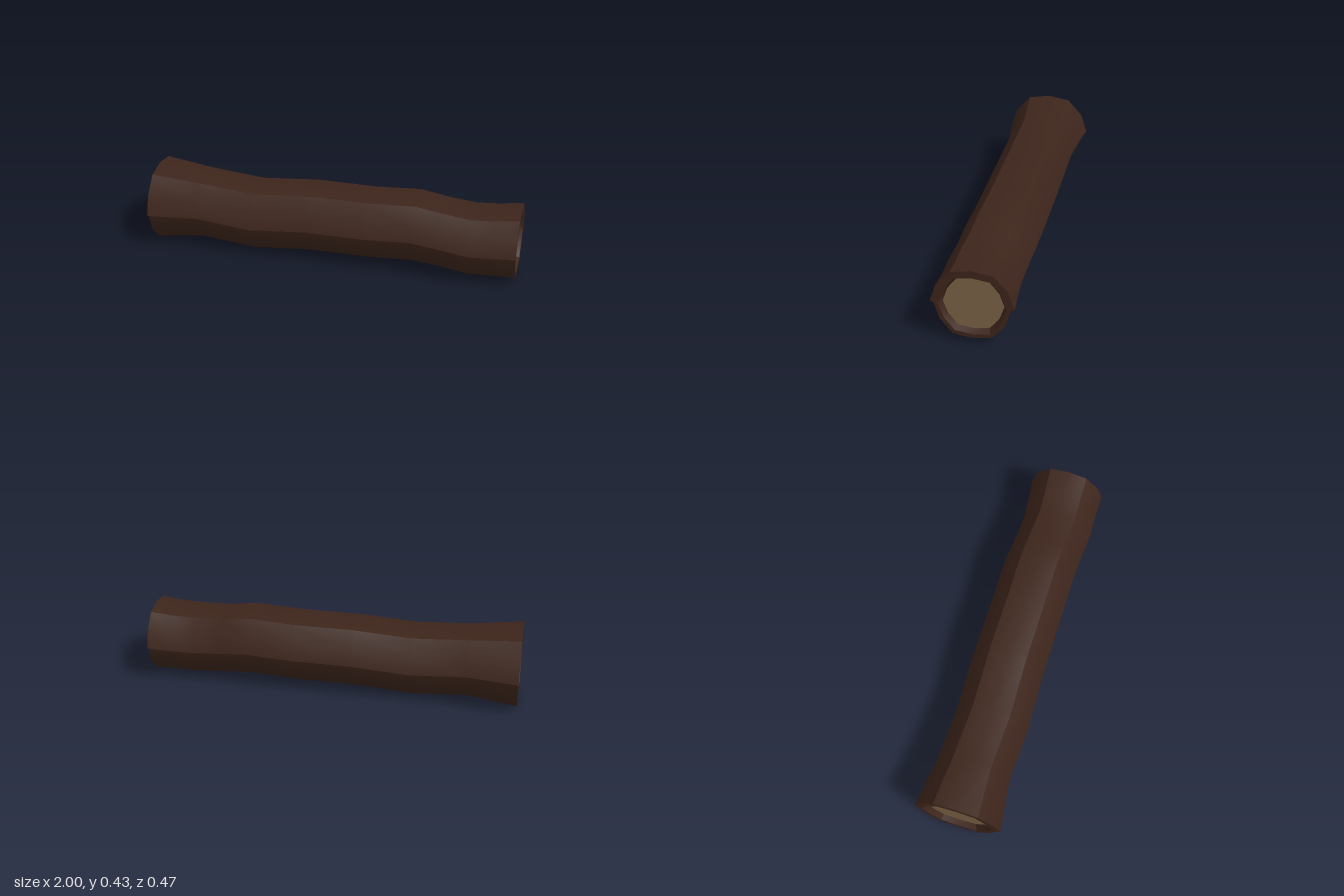
import * as THREE from 'three';
import { toCreasedNormals } from 'three/addons/utils/BufferGeometryUtils.js';

// Half cross-sections as [z, y] for a radius of 1, from the side to the top or bottom.
const UPPER = [[1, 0], [0.86, 0.45], [0.51, 0.845], [0, 0.93]];
const LOWER = [[0.91, -0.03], [0.785, -0.46], [0.475, -0.83], [0, -0.915]];
const HOLE_UPPER = [[1, 0], [0.83, 0.48], [0.52, 0.87], [0, 0.945]];
const HOLE_LOWER = [[0.99, -0.04], [0.83, -0.48], [0.52, -0.87], [0, -0.945]];

// Closed loop: +z side, over the top, -z side, under the bottom.
function closeLoop(upper, lower) {
  const flip = ([z, y]) => [-z, y];
  return [
    ...upper, ...upper.slice(0, 3).reverse().map(flip),
    ...lower.map(flip), ...lower.slice(0, 3).reverse(),
  ];
}
const BARK = closeLoop(UPPER, LOWER);
const HOLE = closeLoop(HOLE_UPPER, HOLE_LOWER);

const ring = (loop, x, cy, cz, r) =>
  loop.map(([z, y]) => new THREE.Vector3(x, cy + y * r, cz + z * r));

function toGeometry(points) {
  const geometry = new THREE.BufferGeometry().setFromPoints(points);
  return toCreasedNormals(geometry, Math.PI / 6);
}

// Skin a row of rings running towards +x.
function loft(rings) {
  const points = [];
  for (let i = 0; i < rings.length - 1; i++) {
    const a = rings[i], b = rings[i + 1];
    for (let j = 0; j < a.length; j++) {
      const k = (j + 1) % a.length;
      points.push(a[j], b[j], a[k], a[k], b[j], b[k]);
    }
  }
  return toGeometry(points);
}

// Flat fan filling one ring, facing +x or -x.
function cap(loop, cy, side) {
  const centre = new THREE.Vector3(loop[0].x, cy, 0);
  const points = [];
  loop.forEach((p, j) => {
    const q = loop[(j + 1) % loop.length];
    points.push(centre, ...(side > 0 ? [q, p] : [p, q]));
  });
  return toGeometry(points);
}

export function createModel() {
  const group = new THREE.Group();
  group.name = 'log';
  const barkMaterial = new THREE.MeshStandardMaterial({ color: 0x3d251b });
  const woodMaterial = new THREE.MeshStandardMaterial({ color: 0x7a6244 });

  // Bark stations: x, centre y, centre z, radius.
  const stations = [
    [-1, 0.213, 0, 0.233], [-0.73, 0.214, 0, 0.198], [-0.43, 0.19, 0.008, 0.199],
    [-0.12, 0.214, -0.002, 0.198], [0.2, 0.215, -0.002, 0.197], [0.45, 0.23, -0.004, 0.197],
    [0.6, 0.213, 0.003, 0.193], [0.75, 0.199, 0.012, 0.196], [0.88, 0.204, 0.005, 0.198],
    [1, 0.214, 0, 0.205],
  ];

  // Recessed wood at each end.
  const leftRim = ring(HOLE, 1, 0.207, 0, 0.167);
  const leftFloor = ring(HOLE, 0.97, 0.207, 0, 0.15);
  const rightRim = ring(HOLE, -1, 0.212, 0, 0.19);
  const rightFloor = ring(HOLE, -0.97, 0.212, 0, 0.171);

  const add = (geometry, material, name) => {
    const mesh = new THREE.Mesh(geometry, material);
    mesh.name = name;
    group.add(mesh);
  };

  // Bark wraps over both rims and down the recess walls.
  add(loft([
    rightFloor, rightRim,
    ...stations.map((s) => ring(BARK, ...s)),
    leftRim, leftFloor,
  ]), barkMaterial, 'bark');
  add(cap(leftFloor, 0.207, 1), woodMaterial, 'leftCutWood');
  add(cap(rightFloor, 0.212, -1), woodMaterial, 'rightCutWood');
  return group;
}
